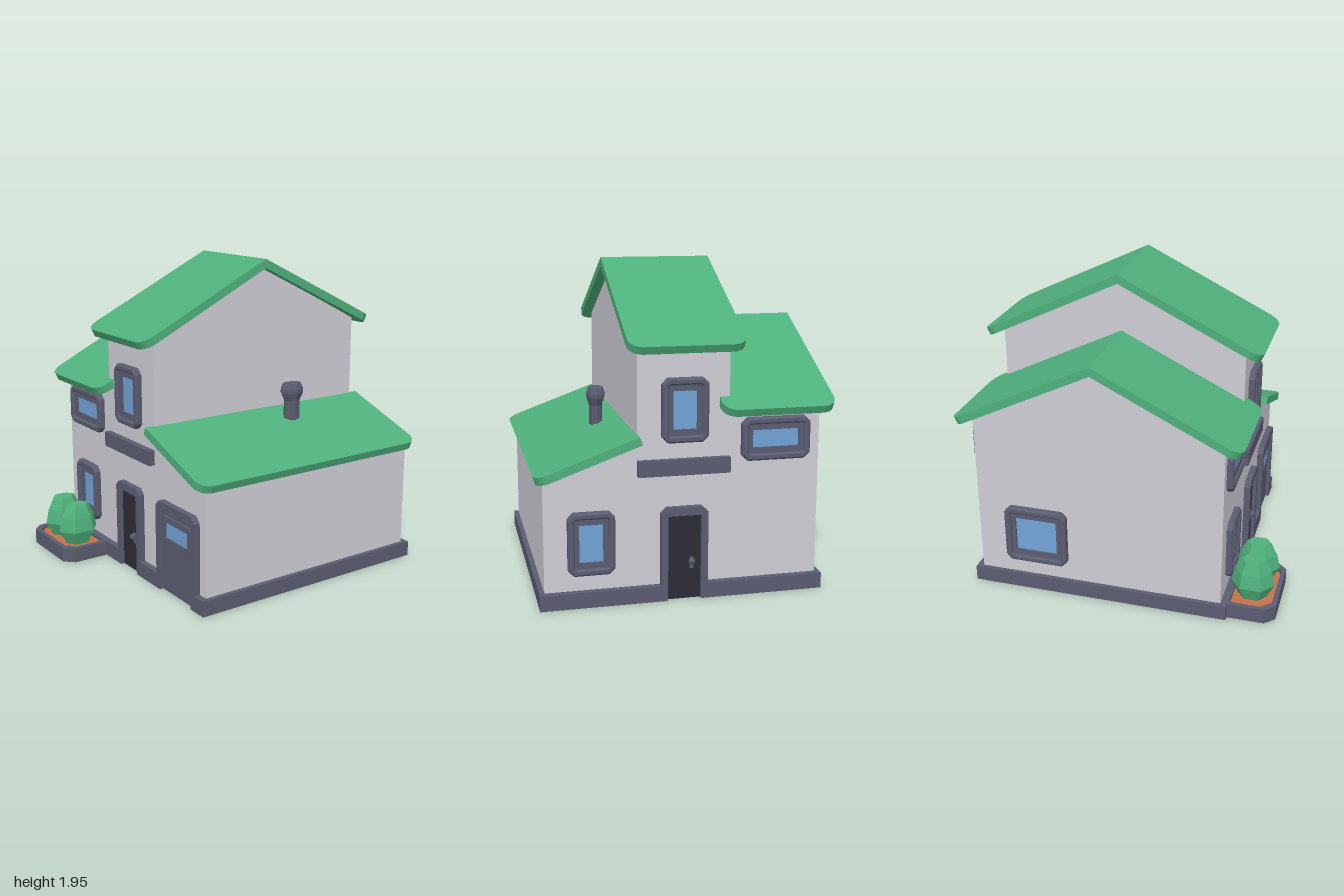
import * as THREE from 'three';

const material = (name, color) => {
  const m = new THREE.MeshStandardMaterial({ color });
  m.name = name;
  return m;
};

// Rectangle with cut corners, centred on the origin
function cutRect(w, h, cut, Type = THREE.Shape) {
  const a = w / 2, b = h / 2;
  const pts = [[a - cut, -b], [a, -b + cut], [a, b - cut], [a - cut, b],
    [-a + cut, b], [-a, b - cut], [-a, -b + cut], [-a + cut, -b]];
  return new Type(pts.map(p => new THREE.Vector2(...p)));
}

const polygon = pts => new THREE.Shape(pts.map(p => new THREE.Vector2(...p)));
const extrude = (shape, depth, bevel = 0) => {
  const g = new THREE.ExtrudeGeometry(shape, {
    depth: depth - bevel, bevelEnabled: bevel > 0, bevelThickness: bevel,
    bevelSize: bevel, bevelOffset: -bevel, bevelSegments: 1, curveSegments: 4 });
  return g;
};

export function createModel() {
  const model = new THREE.Group();
  const wallMat = material('pale wall', 0xcfced6);
  const roofMat = material('green', 0x4fb07c);
  const trimMat = material('slate trim', 0x5a5c70);
  const doorMat = material('dark door', 0x2b2c37);
  const glassMat = material('blue glass', 0x72a3d8);
  const soilMat = material('terracotta soil', 0xc4704a);

  const add = (name, geo, mat, parent = model, pos = [0, 0, 0]) => {
    const m = new THREE.Mesh(geo, mat);
    m.name = name;
    m.position.set(...pos);
    parent.add(m);
    return m;
  };
  const group = (name, parent = model) => {
    const g = new THREE.Group();
    g.name = name;
    parent.add(g);
    return g;
  };

  const L = -0.67, R = 0.88, ridgeX = 0.108;

  // Plinth, notched at the three doorways (shape y is -z)
  const plinth = extrude(polygon([
    [-0.71, -0.86], [0.92, -0.86], [0.92, -0.11], [0.885, -0.11], [0.885, 0.09], [0.92, 0.09],
    [0.92, 0.84], [-0.71, 0.84], [-0.71, 0.09], [-0.675, 0.09], [-0.675, -0.11], [-0.71, -0.11],
    [-0.71, -0.39], [-0.675, -0.39], [-0.675, -0.73], [-0.71, -0.73]]), 0.095);
  add('plinth', plinth.rotateX(-Math.PI / 2), trimMat);

  // Gabled wall blocks: tower in the middle, lower block at the back
  const gableWalls = (name, z0, z1, eave, apex) => add(name, extrude(polygon([
    [L, 0.05], [R, 0.05], [R, eave], [ridgeX, apex], [L, eave]]), z1 - z0),
  wallMat, model, [0, 0, z0]);
  gableWalls('towerWalls', -0.26, 0.285, 1.515, 1.905);
  gableWalls('backWalls', -0.81, -0.26, 1.14, 1.53);

  // Front block with a sloping top
  const lean = extrude(polygon([[-0.83, 0.05], [-0.28, 0.05], [-0.28, 0.955], [-0.83, 0.76]]), R - L);
  add('frontWalls', lean.rotateY(Math.PI / 2), wallMat, model, [L, 0, 0]);

  // Roof slab running from a ridge at the origin down towards +x, rounded at the eave corners
  function roofSlab(run, drop, width) {
    const len = Math.hypot(run, drop), c = run / len, s = drop / len, w = width / 2, r = 0.075;
    const shape = new THREE.Shape();
    shape.moveTo(0, -w);
    shape.lineTo(len - r, -w);
    shape.quadraticCurveTo(len - r * 0.15, -w + r * 0.15, len, -w + r);
    shape.lineTo(len, w - r);
    shape.quadraticCurveTo(len - r * 0.15, w - r * 0.15, len - r, w);
    shape.lineTo(0, w);
    const geo = extrude(shape, 0.05).translate(0, 0, -0.05);
    return geo.applyMatrix4(new THREE.Matrix4().makeBasis(
      new THREE.Vector3(c, -s, 0), new THREE.Vector3(0, 0, -1), new THREE.Vector3(s, c, 0)));
  }
  function gableRoof(name, y, z0, z1) {
    const g = group(name);
    g.position.set(ridgeX, y, (z0 + z1) / 2);
    const geo = roofSlab(0.89, 0.435, z1 - z0);
    for (const turn of [0, Math.PI]) add('roofSlope', geo, roofMat, g).rotation.y = turn;
  }
  gableRoof('towerRoof', 1.953, -0.335, 0.35);
  gableRoof('backRoof', 1.578, -0.88, -0.2);
  add('frontRoof', roofSlab(0.6, 0.215, 1.67), roofMat, model, [0.105, 1, 0.28]).rotation.y = -Math.PI / 2;

  // Chimney pot, flattened front to back
  const pot = new THREE.LatheGeometry([[0, 0.9], [0.058, 0.9], [0.058, 1.06], [0.082, 1.11],
    [0.082, 1.135], [0.066, 1.17], [0, 1.17]].map(p => new THREE.Vector2(...p)), 8);
  const chimney = add('chimney', pot.toNonIndexed(), trimMat, model, [0.27, 0, 0.42]);
  chimney.geometry.computeVertexNormals();
  chimney.scale.z = 0.7;

  // Fittings are built facing +z, then turned onto a wall
  const walls = {
    right: (g, y, z) => { g.position.set(R, y, z); g.rotation.y = Math.PI / 2; },
    left: (g, y, z) => { g.position.set(L, y, z); g.rotation.y = -Math.PI / 2; },
    back: (g, y, x) => { g.position.set(x, y, -0.81); g.rotation.y = Math.PI; },
  };

  // Window: chamfered outer frame, stepped inner frame, glass
  function windowUnit(name, wall, along, y, w, h) {
    const g = group(name);
    walls[wall](g, y, along);
    const outer = cutRect(w, h, 0.035);
    outer.holes.push(cutRect(w - 0.08, h - 0.08, 0.008, THREE.Path));
    add('outerFrame', extrude(outer, 0.04, 0.01), trimMat, g);
    const inner = cutRect(w - 0.075, h - 0.075, 0.005);
    inner.holes.push(cutRect(w - 0.135, h - 0.15, 0.002, THREE.Path));
    add('innerFrame', extrude(inner, 0.022), trimMat, g);
    add('glass', new THREE.BoxGeometry(w - 0.12, h - 0.13, 0.008), glassMat, g, [0, 0, 0.005]);
  }
  windowUnit('frontRightWindow', 'right', 0.557, 0.38, 0.275, 0.375);
  windowUnit('backLeftWindow', 'left', -0.55, 0.38, 0.275, 0.375);
  windowUnit('backWindow', 'back', 0.5, 0.385, 0.4, 0.375);
  for (const wall of ['right', 'left']) {
    windowUnit('towerWindow', wall, 0.008, 1.135, 0.275, 0.375);
    windowUnit('upperBackWindow', wall, -0.538, 0.945, 0.415, 0.255);
  }

  // Door surround, open at the bottom, with a recessed panel
  function doorway(name, wall, z, w, h, panelMat) {
    const g = group(name);
    walls[wall](g, 0, z);
    const a = w / 2, b = a - 0.04, c = 0.035;
    add('doorFrame', extrude(polygon([[b, 0], [a, 0], [a, h - c], [a - c, h], [-a + c, h], [-a, h - c],
      [-a, 0], [-b, 0], [-b, h - 0.05], [b, h - 0.05]]), 0.04), trimMat, g);
    add('doorPanel', new THREE.BoxGeometry(2 * b, h - 0.05, 0.04), panelMat, g, [0, (h - 0.05) / 2, -0.005]);
    return g;
  }
  for (const wall of ['right', 'left']) {
    const door = doorway('door', wall, 0.01, 0.28, 0.565, doorMat);
    add('handlePlate', new THREE.BoxGeometry(0.022, 0.07, 0.008), trimMat, door, [0.045, 0.22, 0.018]);
    add('handleKnob', new THREE.SphereGeometry(0.02, 10, 8), trimMat, door, [0.045, 0.232, 0.032]);

    // Band across the tower under the upper window
    const x = wall === 'right' ? R + 0.015 : L - 0.015;
    add('towerBand', new THREE.BoxGeometry(0.05, 0.093, 0.545), trimMat, model, [x, 0.804, 0.0125]);
  }

  // Wide garage door with a window strip
  const garage = doorway('garageDoor', 'left', 0.56, 0.42, 0.57, trimMat);
  const strip = cutRect(0.31, 0.17, 0.015);
  strip.holes.push(cutRect(0.24, 0.1, 0.004, THREE.Path));
  add('garageWindowFrame', extrude(strip, 0.015), trimMat, garage, [0, 0.4, 0.015]);
  add('garageGlass', new THREE.BoxGeometry(0.25, 0.11, 0.006), glassMat, garage, [0, 0.4, 0.017]);

  // Planter with two bushes
  const planter = group('planter');
  const tray = (inset, name, Type) => new Type([[-0.69, 0.28], [-0.69, 0.81], [-0.94, 0.81], [-1, 0.75],
    [-1, 0.34], [-0.94, 0.28]].map(([x, y]) => new THREE.Vector2(
    x + (x < -0.7 ? inset : -inset), y + (y > 0.545 ? -inset : inset))));
  const rim = tray(0, 'rim', THREE.Shape);
  rim.holes.push(tray(0.03, 'hole', THREE.Path));
  add('planterRim', extrude(rim, 0.095).rotateX(-Math.PI / 2), trimMat, planter);
  add('planterBottom', extrude(tray(0.01, 'bottom', THREE.Shape), 0.03).rotateX(-Math.PI / 2), trimMat, planter);
  add('soil', extrude(tray(0.025, 'soil', THREE.Shape), 0.045).rotateX(-Math.PI / 2), soilMat, planter, [0, 0.03, 0]);
  const leaf = new THREE.LatheGeometry([[0, 0.06], [0.085, 0.07], [0.135, 0.165], [0.115, 0.255],
    [0.075, 0.335], [0, 0.335]].map(p => new THREE.Vector2(...p)), 6, Math.PI / 2).toNonIndexed();
  leaf.computeVertexNormals();
  for (const z of [-0.64, -0.44]) add('bush', leaf, roofMat, planter, [-0.835, 0, z]).scale.z = 0.78;

  return model;
}
